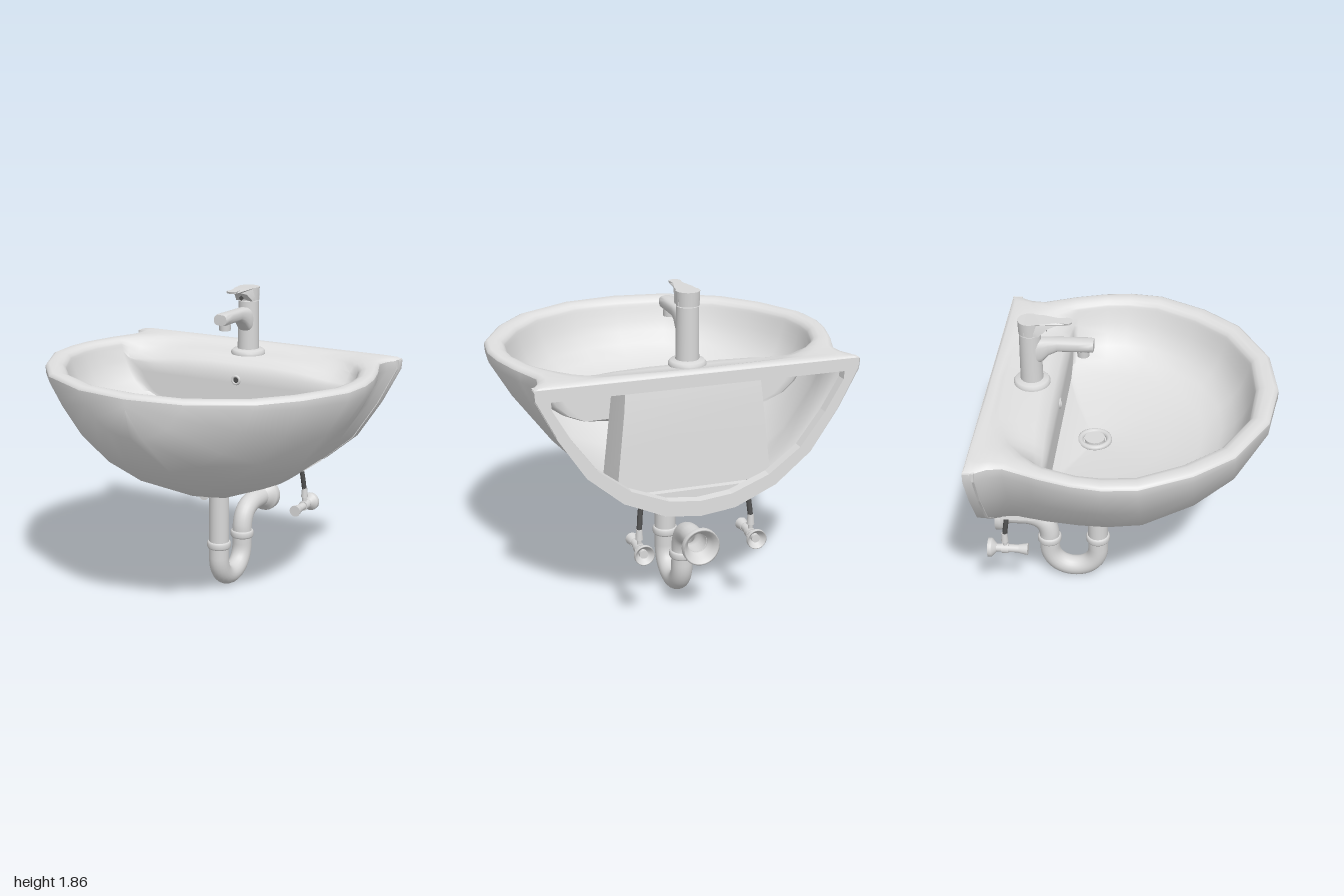
import * as THREE from 'three';
import { toCreasedNormals } from 'three/addons/utils/BufferGeometryUtils.js';

const D = THREE.DoubleSide;
const mat = (name, color, side = THREE.FrontSide) => {
  const m = new THREE.MeshStandardMaterial({ color, side });
  m.name = name;
  return m;
};
const V = (x, y, z) => new THREE.Vector3(x, y, z);
const { lerp, smoothstep, clamp } = THREE.MathUtils;

// Skin a row of equal-length point rings
function loft(rings, closed, skip = () => false) {
  const n = rings[0].length, pos = [], idx = [];
  rings.forEach(r => r.forEach(p => pos.push(p.x, p.y, p.z)));
  for (let i = 0; i < rings.length - 1; i++) {
    for (let j = 0; j < (closed ? n : n - 1); j++) {
      if (skip(i, j)) continue;
      const k = (j + 1) % n, a = i * n + j, b = i * n + k, c = a + n, d = b + n;
      idx.push(a, b, c, b, d, c);
    }
  }
  const g = new THREE.BufferGeometry();
  g.setAttribute('position', new THREE.Float32BufferAttribute(pos, 3));
  g.setIndex(idx);
  return toCreasedNormals(g, 0.95);
}

// Extrude a (z, y) side profile across x, centred, its width scaled by a rule of (y, z)
function sideExtrude(points, width, taper) {
  const s = new THREE.Shape(points.map(([z, y]) => new THREE.Vector2(-z, y)));
  const g = new THREE.ExtrudeGeometry(s, { depth: width, bevelEnabled: false });
  g.translate(0, 0, -width / 2);
  g.rotateY(Math.PI / 2);
  const p = g.attributes.position;
  for (let i = 0; i < p.count; i++) p.setX(i, p.getX(i) * taper(p.getY(i), p.getZ(i)));
  return toCreasedNormals(g, 0.7);
}

// Half plan of the rim: outer x, z then inner x, z
const PLAN = [
  [0, 0.835, 0, 0.71], [0.33, 0.785, 0.29, 0.68], [0.66, 0.605, 0.57, 0.53],
  [0.84, 0.39, 0.74, 0.33], [0.98, 0.11, 0.87, 0.09], [1, -0.08, 0.89, -0.09],
  [0.98, -0.24, 0.88, -0.22], [0.93, -0.42, 0.82, -0.4], [0.911, -0.47, 0.79, -0.45],
  [0.855, -0.62, 0.73, -0.52], [0.87, -0.7, 0.62, -0.62], [0.9, -0.75, 0.55, -0.65],
  [0.92, -0.78, 0.48, -0.68], [0.92, -0.82, 0.4, -0.7], [0.2, -0.82, 0.2, -0.72], [0, -0.82, 0, -0.73],
];
// Shell underside height at each plan station
const BOTTOM = [1.4, 1.225, 0.99, 0.83, 0.705, 0.68, 0.665, 0.645, 0.64, 0.64, 0.64, 0.64, 0.64, 0.64];
// Half cross-section of the shell: width fraction, depth fraction
const SECTION = [[1, 0], [0.995, 0.07], [0.87, 0.34], [0.7, 0.63], [0.48, 0.84], [0.22, 0.97], [0, 1]];
const BOWL_BACK = -0.42;

const mirrorLoop = half => [...half, ...half.slice(1, -1).reverse().map(p => V(-p.x, p.y, p.z))];
const section = (w, top, bottom, from = 0) => {
  const half = SECTION.slice(from).map(([u, v]) => [u * w, lerp(top, bottom, v)]);
  return [...half, ...half.slice(0, -1).reverse().map(([x, y]) => [-x, y])];
};
const vec2 = pts => pts.map(([x, y]) => new THREE.Vector2(x, y));

export function createModel() {
  const ceramic = mat('white ceramic', 0xe0e0e0, D);
  const metal = mat('polished metal', 0xd8d8d8, D);
  const dark = mat('dark rubber', 0x505050);
  const root = new THREE.Group();
  root.name = 'washBasin';

  const add = (parent, name, geo, material, x = 0, y = 0, z = 0) => {
    const m = new THREE.Mesh(geo, material);
    m.name = name;
    m.position.set(x, y, z);
    parent.add(m);
    return m;
  };
  const group = name => {
    const g = new THREE.Group();
    g.name = name;
    root.add(g);
    return g;
  };
  const cyl = (r1, r2, h, seg = 24) => new THREE.CylinderGeometry(r1, r2, h, seg);
  const cylZ = (rFront, rBack, h) => cyl(rFront, rBack, h).rotateX(Math.PI / 2);
  // Hollow trumpet-shaped cover opening towards the wall
  const rosette = (r, neck, depth) => new THREE.LatheGeometry(vec2([
    [neck * 0.9, 0], [neck, 0], [r * 0.78, depth * 0.35], [r * 0.95, depth * 0.5], [r, depth * 0.6],
    [r, depth], [r * 0.92, depth], [r * 0.72, depth * 0.65], [neck * 0.9, depth * 0.2],
  ]), 28).rotateX(-Math.PI / 2);

  // Basin: outer shell with a plumbing notch under the back
  const basin = group('basin');
  const stations = BOTTOM.map((b, i) =>
    section(PLAN[i][0], 1.455, b).map(([x, y]) => V(x, y, PLAN[i][1])));
  add(basin, 'outerShell', loft(stations, false, (i, j) => i >= 8 && i < 11 && j >= 4 && j <= 7), ceramic);

  // Rounded rim, rolled faucet ledge and shallow bowl in one skin
  const rimLoop = (t, y) => mirrorLoop(PLAN.map(([ox, oz, ix, iz]) => V(lerp(ox, ix, t), y, lerp(oz, iz, t))));
  const ledgeLoop = (s, y, t, sideDrop) => mirrorLoop(PLAN.map(([, , x, z]) => z < BOWL_BACK
    ? V(x * s, y - sideDrop * smoothstep(x, 0.25, 0.75), lerp(z, BOWL_BACK, t))
    : V(x * s, y, -0.22 + (z + 0.22) * s)));
  const bowlLoop = (s, y) => mirrorLoop(PLAN.map(([, , x, z]) => {
    const zc = Math.max(z, BOWL_BACK) + 0.22; // the back wall stays upright down to the floor
    return V(x * s, y, -0.22 + zc * (zc < 0 ? Math.min(1, s * 1.6) : s));
  }));
  const rings = [
    rimLoop(0, 1.455), rimLoop(0.06, 1.468), rimLoop(0.2, 1.475), rimLoop(0.6, 1.474), rimLoop(0.85, 1.466),
    rimLoop(1, 1.45), ledgeLoop(0.995, 1.44, 0.4, 0.02), ledgeLoop(0.99, 1.425, 0.7, 0.04),
    ledgeLoop(0.98, 1.395, 0.9, 0.04), bowlLoop(0.96, 1.34), bowlLoop(0.93, 1.28),
    bowlLoop(0.88, 1.215), bowlLoop(0.8, 1.155), bowlLoop(0.68, 1.115),
    bowlLoop(0.45, 1.08), bowlLoop(0.2, 1.05), bowlLoop(0.05, 1.04),
  ];
  add(basin, 'rimAndBowl', loft(rings, true), ceramic);

  // Wall flange with its large opening
  const flange = new THREE.Shape(vec2(section(0.917, 1.46, 0.64)));
  flange.holes.push(new THREE.Path(vec2(section(0.83, 1.39, 0.73))));
  add(basin, 'wallFlange', new THREE.ExtrudeGeometry(flange, { depth: 0.06, bevelEnabled: false }),
    ceramic, 0, 0, -0.82);

  // Housing behind the bowl, and the walls and ceiling of the notch
  add(basin, 'rearHousing', sideExtrude(
    [[-0.45, 0.775], [-0.72, 0.775], [-0.71, 1], [-0.7, 1.25], [-0.68, 1.4], [-0.45, 1.38]], 0.77,
    y => lerp(1.17, 1, clamp((y - 0.775) / 0.6, 0, 1))), ceramic);
  for (const z of [-0.47, -0.755]) {
    add(basin, 'notchWall', new THREE.ShapeGeometry(new THREE.Shape(vec2(section(0.905, 1.455, 0.64, 4)))), ceramic, 0, 0, z);
  }
  add(basin, 'notchCeiling', new THREE.BoxGeometry(0.86, 0.008, 0.29), ceramic, 0, 0.772, -0.613);

  // Drain and overflow
  add(basin, 'drainRing', new THREE.TorusGeometry(0.085, 0.018, 10, 28).rotateX(Math.PI / 2), metal, 0, 1.05, -0.22);
  add(basin, 'drainPlug', cyl(0.06, 0.06, 0.03), metal, 0, 1.05, -0.22);
  add(basin, 'overflowRing', new THREE.TorusGeometry(0.024, 0.008, 8, 18), metal, 0, 1.3, -0.418);
  add(basin, 'overflowHole', new THREE.CircleGeometry(0.018, 16), dark, 0, 1.3, -0.415);

  // Faucet
  const faucet = group('faucet');
  add(faucet, 'faucetBase', new THREE.LatheGeometry(
    vec2([[0.105, 0], [0.105, 0.015], [0.095, 0.028], [0.06, 0.035]]), 28), metal, 0, 1.44, -0.575);
  add(faucet, 'faucetBody', cyl(0.062, 0.066, 0.33), metal, 0, 1.605, -0.575);
  add(faucet, 'faucetCap', cyl(0.067, 0.064, 0.08), metal, 0, 1.815, -0.575);
  // Spout skinned through rounded sections: z, centre y, half width, half height
  const spout = [
    [-0.575, 1.65, 0.055, 0.085], [-0.51, 1.665, 0.05, 0.072], [-0.47, 1.688, 0.045, 0.05],
    [-0.42, 1.702, 0.041, 0.037], [-0.3, 1.705, 0.044, 0.036], [-0.24, 1.705, 0.047, 0.036],
    [-0.215, 1.705, 0.042, 0.032], [-0.214, 1.705, 0.001, 0.001],
  ].map(([z, y, w, h]) => Array.from({ length: 20 }, (_, i) => {
    const a = i * Math.PI / 10, soft = v => Math.sign(v) * Math.abs(v) ** 0.7;
    return V(w * soft(Math.cos(a)), y + h * soft(Math.sin(a)), z);
  }));
  add(faucet, 'spout', loft(spout, true), metal);
  add(faucet, 'aerator', cyl(0.037, 0.034, 0.04), metal, 0, 1.655, -0.275);
  // Lever narrows towards its tip
  add(faucet, 'lever', sideExtrude([[-0.6, 1.855], [-0.5, 1.857], [-0.42, 1.857], [-0.345, 1.857], [-0.345, 1.845],
    [-0.42, 1.838], [-0.47, 1.822], [-0.505, 1.79], [-0.52, 1.775], [-0.6, 1.775]], 0.12,
  (y, z) => lerp(1, 0.48, clamp((z + 0.53) / 0.11, 0, 1))), metal);
  add(faucet, 'leverTip', cyl(0.034, 0.03, 0.012), metal, 0, 1.851, -0.365);
  add(faucet, 'temperatureMark', new THREE.CircleGeometry(0.018, 4), dark, 0, 1.797, -0.478);

  // Waste trap
  const trap = group('wasteTrap');
  const path = new THREE.CurvePath();
  const line = (a, b) => path.add(new THREE.LineCurve3(a, b));
  line(V(0, 0.68, -0.212), V(0, 0.215, -0.212));
  path.add(new THREE.CubicBezierCurve3(V(0, 0.215, -0.212), V(0, 0.007, -0.212), V(0, 0.007, -0.515), V(0, 0.215, -0.515)));
  line(V(0, 0.215, -0.515), V(0, 0.32, -0.515));
  path.add(new THREE.CubicBezierCurve3(V(0, 0.32, -0.515), V(0, 0.41, -0.525), V(0, 0.445, -0.57), V(0, 0.455, -0.65)));
  line(V(0, 0.455, -0.65), V(0, 0.455, -0.78));
  add(trap, 'trapPipe', new THREE.TubeGeometry(path, 60, 0.062, 20), metal);
  add(trap, 'drainCollar', cyl(0.105, 0.09, 0.03), metal, 0, 0.67, -0.212);
  for (const [y, z] of [[0.3, -0.212], [0.28, -0.515]]) {
    add(trap, 'pipeNut', new THREE.LatheGeometry(vec2(
      [[0.06, -0.022], [0.068, -0.022], [0.074, -0.012], [0.074, 0.012], [0.068, 0.022], [0.06, 0.022]]), 24),
    metal, 0, y, z);
  }
  add(trap, 'wallRosette', rosette(0.107, 0.064, 0.08), metal, 0, 0.455, -0.757);

  // Water supply valves and hoses, one each side
  for (const s of [1, -1]) {
    const g = group(s > 0 ? 'leftSupply' : 'rightSupply');
    const hose = new THREE.CatmullRomCurve3(
      [V(s * 0.295, 0.775, -0.71), V(s * 0.318, 0.67, -0.72), V(s * 0.33, 0.55, -0.735)]);
    add(g, 'hose', new THREE.TubeGeometry(hose, 20, 0.015, 10), dark);
    add(g, 'hoseNut', cyl(0.017, 0.022, 0.06, 12), metal, s * 0.33, 0.54, -0.735);
    add(g, 'valveStem', cyl(0.014, 0.014, 0.08, 12), metal, s * 0.33, 0.49, -0.735);
    add(g, 'valveBody', cylZ(0.024, 0.024, 0.2), metal, s * 0.33, 0.455, -0.72);
    add(g, 'valveHandle', cylZ(0.036, 0.026, 0.055), metal, s * 0.33, 0.455, -0.625);
    add(g, 'valveCollar', cylZ(0.031, 0.031, 0.04), metal, s * 0.33, 0.455, -0.735);
    add(g, 'valveRosette', rosette(0.057, 0.026, 0.05), metal, s * 0.33, 0.455, -0.787);
  }
  return root;
}
